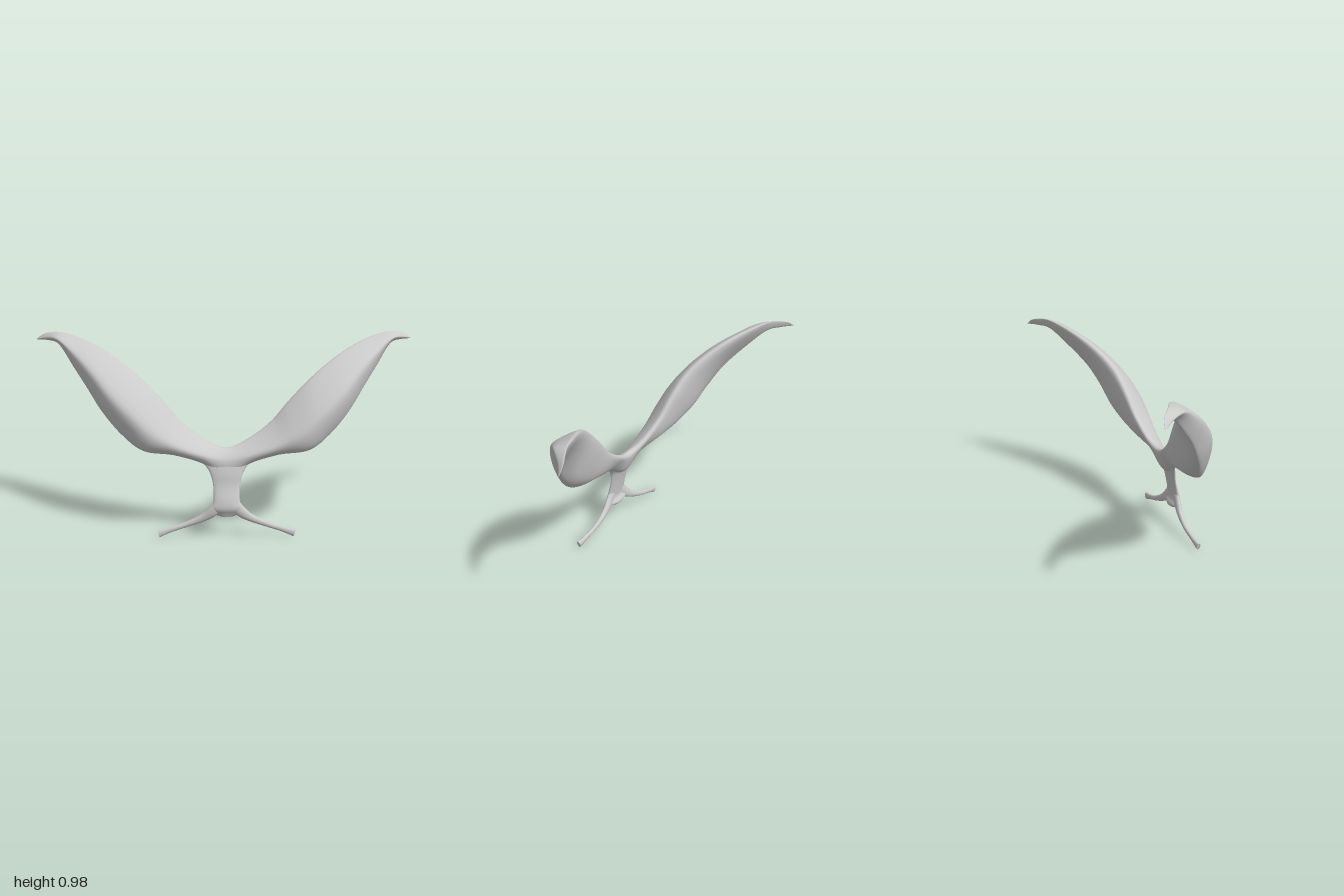
import * as THREE from 'three';

const V = (a) => new THREE.Vector3(...a);
const material = new THREE.MeshStandardMaterial({ color: 0xcccccc, side: THREE.DoubleSide });

// Skin a list of closed rings (counter-clockwise about the direction of travel).
function loft(name, rings) {
  const n = rings[0].length;
  const positions = rings.flat().flatMap((p) => [p.x, p.y, p.z]);
  const index = [];
  for (let i = 0; i < rings.length - 1; i++) {
    for (let j = 0; j < n; j++) {
      const a = i * n + j, b = i * n + ((j + 1) % n);
      index.push(a, b, a + n, b, b + n, a + n);
    }
  }
  const geometry = new THREE.BufferGeometry();
  geometry.setAttribute('position', new THREE.Float32BufferAttribute(positions, 3));
  geometry.setIndex(index);
  geometry.computeVertexNormals();
  const mesh = new THREE.Mesh(geometry, material);
  mesh.name = name;
  return mesh;
}

const smooth = (points) => new THREE.CatmullRomCurve3(points, false, 'catmullrom', 0.5);

// Ellipse of half-sizes a along p and b along q.
function ellipse(c, p, q, a, b, n = 20) {
  return Array.from({ length: n }, (_, j) => {
    const t = (j / n) * Math.PI * 2;
    return c.clone().addScaledVector(p, Math.cos(t) * a).addScaledVector(q, Math.sin(t) * b);
  });
}

// Close both ends of a loft with flat, sharp-edged caps.
function capped(rings) {
  const end = (ring) => {
    const c = ring.reduce((s, p) => s.add(p), new THREE.Vector3()).divideScalar(ring.length);
    return ring.map(() => c.clone());
  };
  const first = rings[0], last = rings[rings.length - 1];
  return [end(first), first, ...rings, last, end(last)];
}

// Wing stations from the middle out: upper edge, front bulge, lower edge,
// then how far the back swells behind the lower and the upper edge.
const stations = [
  [[0, .45, .165], [0, .40, .214], [0, .32, .207], .034, .034],
  [[.10, .483, .145], [.12, .43, .219], [.12, .382, .197], .027, .033],
  [[.22, .565, .125], [.25, .48, .228], [.26, .424, .195], .061, .038],
  [[.31, .665, .11], [.36, .54, .235], [.41, .445, .19], .074, .047],
  [[.41, .765, .085], [.46, .62, .217], [.52, .515, .14], .064, .048],
  [[.52, .85, .03], [.57, .72, .165], [.62, .62, .085], .039, .043],
  [[.64, .92, -.045], [.67, .82, .08], [.70, .73, .02], .02, .035],
  [[.76, .965, -.12], [.77, .90, -.02], [.78, .83, -.06], .018, .024],
  [[.86, .983, -.178], [.86, .955, -.11], [.86, .925, -.15], .016, .013],
  [[.945, .969, -.236], [.935, .952, -.2], [.93, .938, -.213], .007, .007],
];

// Both wings form one continuous solid sweep from tip to tip.
function makeWings() {
  const half = stations.map(([u, f, l, low, high]) => {
    const [U, F, L] = [u, f, l].map(V);
    const back = (t, depth) => L.clone().lerp(U, t).add(V([0, 0, -depth]));
    return [U, F, L, back(0.2, low), back(0.85, high)];
  });
  half.push(half[0].map(() => V([1, .935, -.26])));
  const mirrored = half.slice(1).reverse()
    .map((s) => s.map((p) => new THREE.Vector3(-p.x, p.y, p.z)));
  const all = [...mirrored, ...half];
  const rails = half[0].map((_, i) => smooth(all.map((s) => s[i])));
  const steps = 120, around = 40, rings = [];
  for (let i = 0; i <= steps; i++) {
    const section = new THREE.CatmullRomCurve3(
      rails.map((r) => r.getPoint(i / steps)), true, 'catmullrom', 0.5);
    rings.push(Array.from({ length: around }, (_, j) => section.getPoint(j / around)));
  }
  return loft('wings', rings);
}

// Flat central stem flaring into the wings: height, z, half width, half depth.
function makeStem() {
  const profile = [
    [.415, .183, .15, .018], [.395, .188, .135, .022], [.37, .195, .105, .022], [.33, .21, .08, .016],
    [.27, .222, .066, .013], [.20, .238, .066, .018], [.16, .242, .078, .018],
    [.132, .230, .07, .018], [.115, .227, .035, .014],
  ];
  const centre = smooth(profile.map(([y, z]) => new THREE.Vector3(0, y, z)));
  const size = smooth(profile.map(([, , a, b]) => new THREE.Vector3(a, b, 0)));
  const rings = [];
  for (let i = 0; i <= 40; i++) {
    const s = size.getPoint(i / 40);
    rings.push(ellipse(centre.getPoint(i / 40), V([1, 0, 0]), V([0, 0, 1]), s.x, s.y, 28));
  }
  return loft('stem', capped(rings));
}

// Slender leg flaring at its cut end: x, y, z, half height, half depth.
function makeLeg(side) {
  const path = [
    [.03, .19, .239, .03, .014], [.07, .143, .236, .028, .016], [.12, .106, .228, .02, .014],
    [.20, .07, .221, .014, .011], [.28, .044, .224, .014, .01], [.342, .024, .229, .02, .011],
  ];
  const centre = smooth(path.map(([x, y, z]) => new THREE.Vector3(x * side, y, z)));
  const size = smooth(path.map(([, , , a, b]) => new THREE.Vector3(a, b, 0)));
  const rings = [];
  for (let i = 0; i <= 36; i++) {
    const t = centre.getTangent(i / 36), s = size.getPoint(i / 36);
    const up = new THREE.Vector3(-t.y, t.x, 0).normalize();
    rings.push(ellipse(centre.getPoint(i / 36), up, V([0, 0, 1]), s.x, s.y));
  }
  return loft(side > 0 ? 'leftLeg' : 'rightLeg', capped(rings));
}

export function createModel() {
  const model = new THREE.Group();
  model.name = 'wingedFrame';
  model.add(makeWings(), makeStem(), makeLeg(1), makeLeg(-1));
  return model;
}
